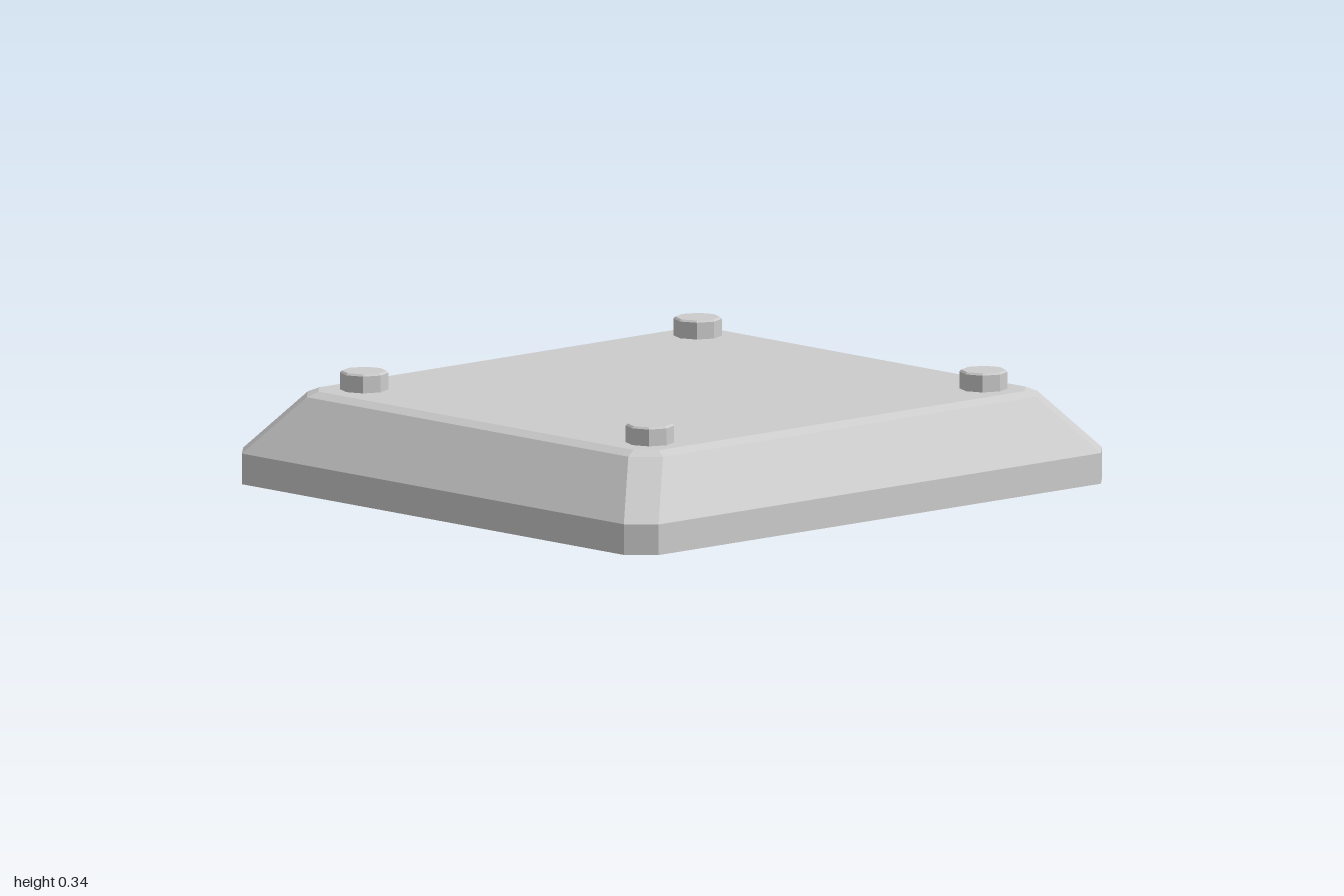
import * as THREE from 'three';

// Rectangle outline with cut corners: half width, half depth, corner cut
function ring(w, d, c, y) {
  return [
    [w, d - c], [w, -d + c], [w - c, -d], [-w + c, -d],
    [-w, -d + c], [-w, d - c], [-w + c, d], [w - c, d],
  ].map(([x, z]) => new THREE.Vector3(x, y, z));
}

// Open-bottomed shell lofted through the rings and closed on top
function loft(rings) {
  const points = [];
  const n = rings[0].length;
  for (let r = 0; r < rings.length - 1; r++) {
    for (let i = 0; i < n; i++) {
      const j = (i + 1) % n;
      const a = rings[r][i], b = rings[r][j];
      const c = rings[r + 1][j], d = rings[r + 1][i];
      points.push(a, b, c, a, c, d);
    }
  }
  const top = rings[rings.length - 1];
  for (let i = 1; i < n - 1; i++) points.push(top[0], top[i], top[i + 1]);
  const geometry = new THREE.BufferGeometry().setFromPoints(points);
  geometry.computeVertexNormals();
  return geometry;
}

export function createModel() {
  const model = new THREE.Group();
  model.name = 'boltedCover';
  const metal = new THREE.MeshStandardMaterial({
    name: 'light grey metal', color: 0xcccccc, flatShading: true, side: THREE.DoubleSide,
  });

  // Hollow cover: upright rim, sloping sides, small bevel and flat top
  const cover = new THREE.Mesh(loft([
    ring(0.93, 1, 0.075, 0),
    ring(0.93, 1, 0.075, 0.095),
    ring(0.795, 0.855, 0.075, 0.27),
    ring(0.76, 0.82, 0.055, 0.285),
  ]), metal);
  cover.name = 'cover';
  model.add(cover);

  // Eight-sided bolt heads with a slight bevel, one near each corner
  const profile = [[0.074, 0.285], [0.074, 0.337], [0.068, 0.343], [0, 0.343]]
    .map(([x, y]) => new THREE.Vector2(x, y));
  const boltGeometry = new THREE.LatheGeometry(profile, 8);
  for (const x of [-0.64, 0.64]) {
    for (const z of [-0.705, 0.69]) {
      const bolt = new THREE.Mesh(boltGeometry, metal);
      bolt.name = 'bolt';
      bolt.position.set(x, 0, z);
      model.add(bolt);
    }
  }
  return model;
}
